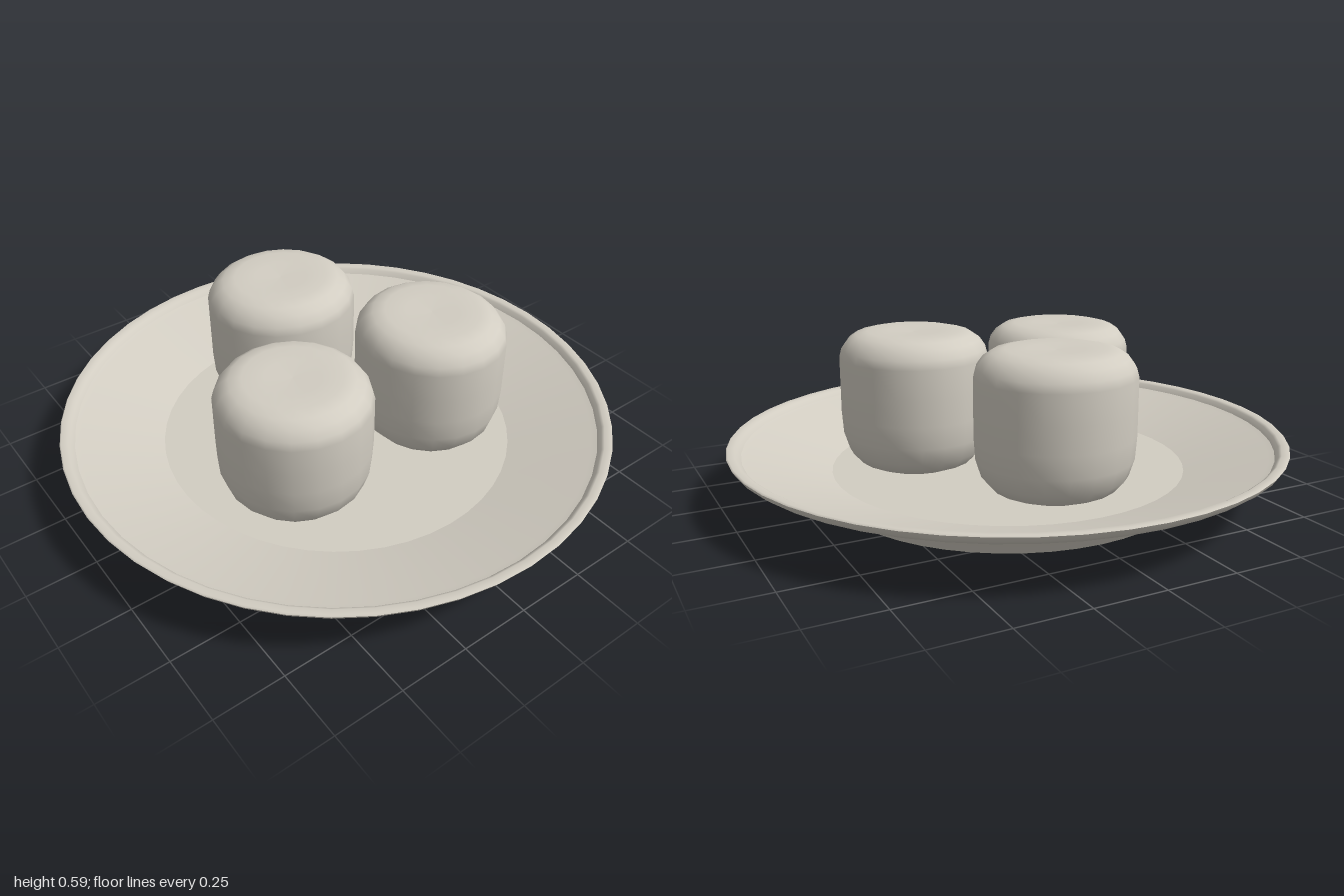
import * as THREE from 'three';

const cream = new THREE.MeshStandardMaterial({ color: 0xd2cdc2 });
cream.name = 'cream';

// Revolves a profile of [radius, height] pairs, listed counter-clockwise from the base
function lathe(name, profile, sides) {
  const points = profile.map(([r, y]) => new THREE.Vector2(r, y));
  const mesh = new THREE.Mesh(new THREE.LatheGeometry(points, sides), cream);
  mesh.name = name;
  return mesh;
}

// Upright barrel with soft rounded edges and a slightly dimpled top
function createMarshmallow(name, x, z, rx, rz, top) {
  const base = 0.095;
  const h = top - base;
  const profile = [
    [0, 0], [0.6, 0], [0.78, 0.02], [0.91, 0.06], [0.98, 0.12], [1, 0.2],
    [1, 0.5], [1, h - 0.09], [0.97, h - 0.06], [0.89, h - 0.03],
    [0.78, h - 0.01], [0.62, h], [0.35, h - 0.002], [0, h - 0.006],
  ];
  const mesh = lathe(name, profile.map(([r, y]) => [r, y === 0.5 ? h * 0.6 : y]), 20);
  mesh.geometry.scale(rx, 1, rz);
  mesh.position.set(x, base, z);
  return mesh;
}

export function createModel() {
  const model = new THREE.Group();
  model.name = 'plateOfMarshmallows';

  // Plate, in sections so the creases between them stay crisp
  const plate = new THREE.Group();
  plate.name = 'plate';
  plate.add(
    lathe('plateBase', [[0, 0], [0.63, 0]], 48),
    lathe('plateFootAndUnderside', [
      [0.63, 0], [0.645, 0.006], [0.665, 0.052], [0.69, 0.066], [0.97, 0.175], [0.99, 0.19], [1, 0.207],
    ], 48),
    lathe('plateRim', [[1, 0.207], [0.995, 0.212], [0.972, 0.21], [0.962, 0.204], [0.95, 0.187]], 48),
    lathe('plateWall', [[0.95, 0.187], [0.93, 0.18], [0.64, 0.095]], 48),
    lathe('plateFloor', [[0.64, 0.095], [0, 0.095]], 48),
  );
  model.add(plate);

  // Three marshmallows in a triangle
  model.add(
    createMarshmallow('backMarshmallow', 0, -0.345, 0.277, 0.266, 0.585),
    createMarshmallow('rightMarshmallow', -0.3, 0.167, 0.268, 0.272, 0.565),
    createMarshmallow('leftMarshmallow', 0.295, 0.167, 0.265, 0.276, 0.585),
  );
  return model;
}
